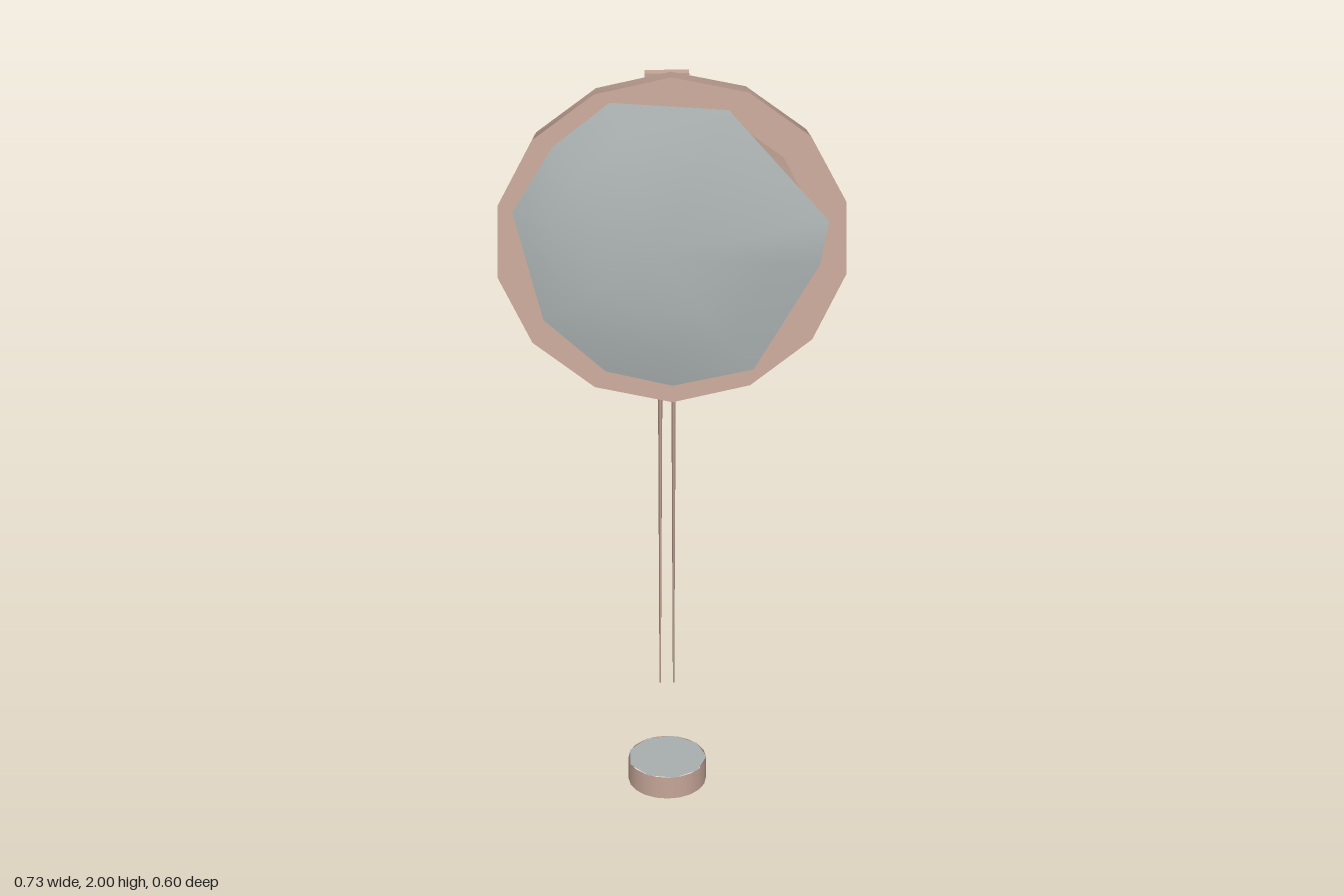
import * as THREE from 'three';
import { toCreasedNormals } from 'three/addons/utils/BufferGeometryUtils.js';

const copper = new THREE.MeshStandardMaterial({ color: 0xc4a598, side: THREE.DoubleSide });
copper.name = 'dusty pink paint';
const silver = new THREE.MeshStandardMaterial({ color: 0xa8aeae, side: THREE.DoubleSide });
silver.name = 'silver grey';

function add(parent, name, geometry, material, x = 0, y = 0, z = 0) {
  const mesh = new THREE.Mesh(geometry, material);
  mesh.name = name;
  mesh.position.set(x, y, z);
  parent.add(mesh);
  return mesh;
}

// Turned shape around the z axis, creased at sharp edges
function turned(profile, sides) {
  const points = profile.map(([r, z]) => new THREE.Vector2(r, z));
  const geometry = new THREE.LatheGeometry(points, sides).rotateX(Math.PI / 2);
  return toCreasedNormals(geometry, 0.6);
}

// Convex mirror: an uneven outline drawn in towards a shallow apex
function mirrorGeometry() {
  const outline = [
    [0.12, 0.3], [-0.13, 0.32], [-0.25, 0.22], [-0.335, 0.07], [-0.27, -0.18],
    [-0.14, -0.3], [0, -0.335], [0.17, -0.3], [0.31, -0.06], [0.33, 0.04],
  ];
  const rings = [[1, 0.004], [0.75, 0.03], [0.45, 0.05]];
  const n = outline.length, positions = [], index = [];
  for (const [s, z] of rings)
    for (const [x, y] of outline) positions.push(x * s - 0.04 * (1 - s), y * s, z);
  positions.push(-0.04, 0, 0.058);
  for (let i = 0; i < n; i++) {
    const j = (i + 1) % n;
    for (let r = 0; r < rings.length - 1; r++) {
      const a = r * n + i, b = r * n + j;
      index.push(a, b, b + n, a, b + n, a + n);
    }
    const last = (rings.length - 1) * n;
    index.push(last + i, last + j, rings.length * n);
  }
  const geometry = new THREE.BufferGeometry();
  geometry.setAttribute('position', new THREE.Float32BufferAttribute(positions, 3));
  geometry.setIndex(index);
  geometry.computeVertexNormals();
  return geometry;
}

export function createModel() {
  const model = new THREE.Group();
  model.name = 'roadMirror';

  // Tilted mirror head
  const head = new THREE.Group();
  head.name = 'mirrorHead';
  head.position.set(0, 1.628, 0.222);
  head.rotation.x = -0.14;
  model.add(head);
  add(head, 'rim', turned([[0.3, -0.057], [0.362, -0.057], [0.375, 0], [0.3, 0]], 14), copper);
  add(head, 'backShell', turned([[0, -0.107], [0.2, -0.105], [0.25, -0.099], [0.35, -0.055]], 32), copper);
  add(head, 'mirror', mirrorGeometry(), silver);

  // Pole: slim flattened tube, thinning to two strips lower down
  const pole = add(model, 'upperPole', new THREE.CylinderGeometry(0.018, 0.018, 0.64, 12), copper, 0, 1.37, -0.247);
  pole.scale.z = 0.4;
  for (const side of [-1, 1]) {
    add(model, 'lowerPoleStrip', new THREE.CylinderGeometry(0.005, 0.0015, 0.83, 4), copper, side * 0.014, 0.635, -0.249);
  }

  // Brackets and arms at two heights
  for (const [y, h] of [[1.715, 0.022], [1.51, 0.012]]) {
    add(model, 'bracket', new THREE.BoxGeometry(0.07, h, 0.075), copper, 0, y, -0.228);
    add(model, 'clamp', new THREE.BoxGeometry(0.094, h + 0.012, 0.014), copper, 0, y + 0.004, -0.261);
  }
  add(model, 'upperArm', new THREE.BoxGeometry(0.022, 0.026, 0.31), copper, 0, 1.712, -0.042);
  for (const side of [-1, 1]) {
    add(model, 'lowerArm', new THREE.BoxGeometry(0.008, 0.012, 0.33), copper, side * 0.012, 1.52, -0.025);
  }

  // Sign plate
  add(model, 'signPlate', new THREE.PlaneGeometry(0.24, 0.064), silver, -0.004, 1.108, -0.19);

  // Foot: open ring with a flat lid
  add(model, 'footRing', new THREE.CylinderGeometry(0.081, 0.081, 0.052, 20, 1, true), copper, 0, 0.026, -0.222);
  add(model, 'footLid', new THREE.CircleGeometry(0.082, 9).rotateX(-Math.PI / 2), silver, 0, 0.052, -0.222);

  return model;
}
